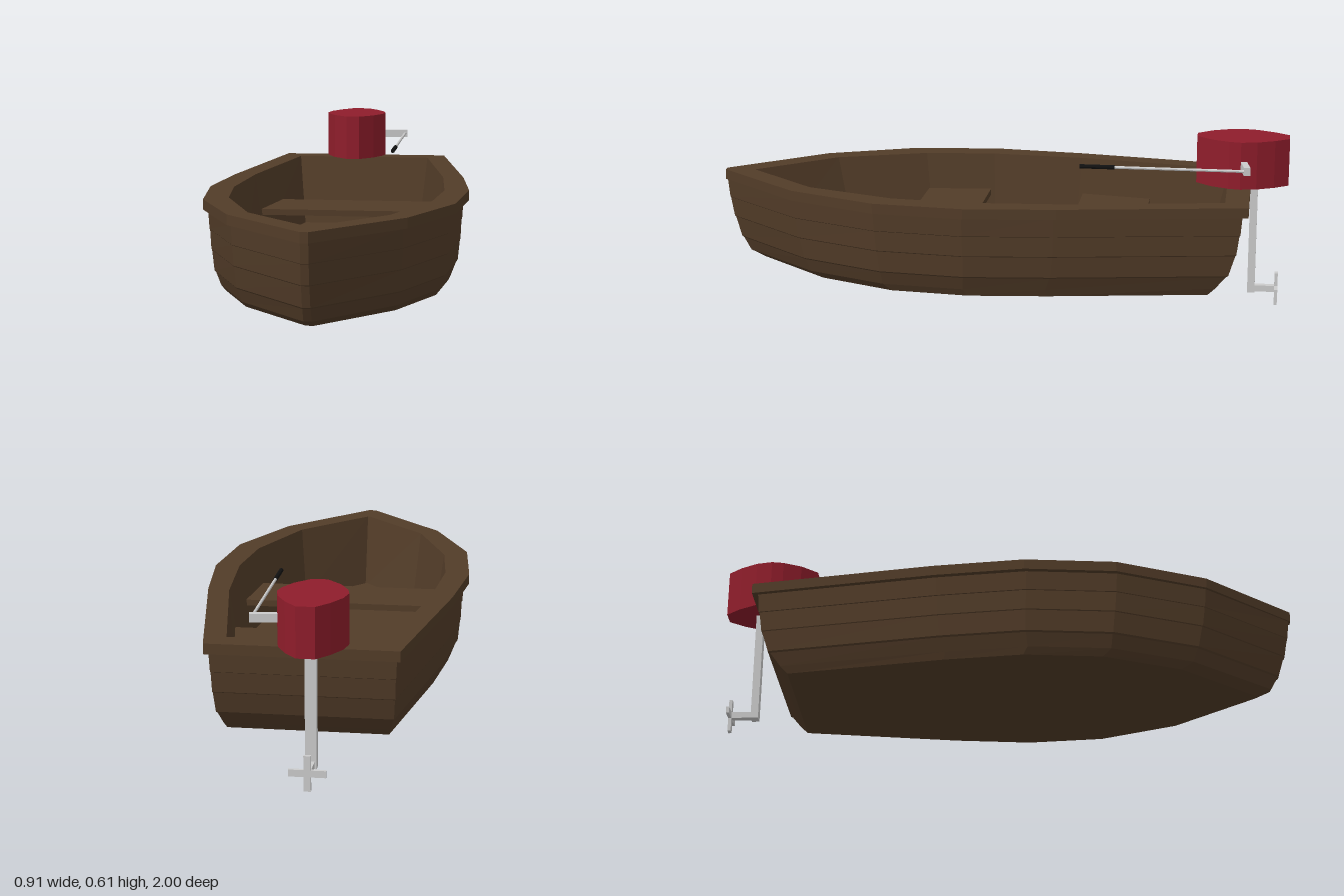
import * as THREE from 'three';

const mat = (color) => new THREE.MeshStandardMaterial({ color, flatShading: true });
const wood = mat(0x523c28), red = mat(0x8f1d2b), grey = mat(0xcccccc), black = mat(0x111111);

// Half outlines [x, z] from stern to bow
const OUTER = [[0.31, -0.87], [0.42, -0.24], [0.455, 0.07], [0.425, 0.38], [0.29, 0.69], [0.013, 1.0]];
const INNER = [[0.25, -0.79], [0.345, -0.25], [0.37, 0.08], [0.345, 0.33], [0.23, 0.64], [0.004, 0.89]];

// Closed ring at height y: scaled in width, stretched in z between stern and bow
function ring(half, y, scale = 1, stern = half[0][1], bow = half[5][1]) {
  const z0 = half[0][1], z1 = half[5][1];
  const side = half.map(([x, z], i) => [
    i === 5 ? x : x * scale, y, stern + (z - z0) / (z1 - z0) * (bow - stern)]);
  return [...side, ...side.slice().reverse().map(([x, h, z]) => [-x, h, z])];
}

// Skin between successive rings, with optional end caps
function loft(rings, capStart, capEnd) {
  const pos = [];
  const tri = (a, b, c) => pos.push(...a, ...b, ...c);
  for (let k = 0; k + 1 < rings.length; k++) {
    const p = rings[k], q = rings[k + 1], n = p.length;
    for (let i = 0; i < n; i++) {
      const j = (i + 1) % n;
      tri(p[i], q[i], p[j]);
      tri(q[i], q[j], p[j]);
    }
  }
  const cap = (r, up) => {
    const n = r.length;
    for (let i = 0; i + 1 < n / 2; i++) {
      const a = r[i], b = r[i + 1], c = r[n - 1 - i], d = r[n - 2 - i];
      if (up) { tri(c, d, a); tri(a, d, b); } else { tri(c, a, d); tri(a, b, d); }
    }
  };
  if (capStart) cap(rings[0], false);
  if (capEnd) cap(rings[rings.length - 1], true);
  const g = new THREE.BufferGeometry();
  g.setAttribute('position', new THREE.Float32BufferAttribute(pos, 3));
  g.computeVertexNormals();
  return g;
}

// Slab with a top-view outline of [x, z] points
function slab(points, y0, y1) {
  const shape = new THREE.Shape(points.map(([x, z]) => new THREE.Vector2(x, -z)));
  const g = new THREE.ExtrudeGeometry(shape, { depth: y1 - y0, bevelEnabled: false });
  return g.rotateX(-Math.PI / 2).translate(0, y0, 0);
}

export function createModel() {
  const root = new THREE.Group();
  root.name = 'motorBoat';
  const add = (parent, name, geometry, material, x = 0, y = 0, z = 0) => {
    const m = new THREE.Mesh(geometry, material);
    m.name = name;
    m.position.set(x, y, z);
    parent.add(m);
    return m;
  };
  const box = (w, h, d) => new THREE.BoxGeometry(w, h, d);

  // Lapped planks: [half width, y, stern z, bow z], bottom to top
  const planks = [
    [0.385, 0.115, -0.74, 0.86], [0.396, 0.14, -0.765, 0.915], [0.413, 0.185, -0.80, 0.94],
    [0.418, 0.19, -0.808, 0.947], [0.425, 0.262, -0.83, 0.968],
    [0.427, 0.265, -0.833, 0.972], [0.43, 0.333, -0.842, 0.984],
    [0.432, 0.335, -0.845, 0.986], [0.436, 0.40, -0.85, 0.993],
  ].map(([w, y, s, b]) => ring(OUTER, y, w / 0.455, s, b));
  add(root, 'hull', loft(planks, true, false), wood);

  // Rim around the top, continuing under its overhang
  add(root, 'gunwale', loft([
    planks[planks.length - 1], ring(OUTER, 0.40), ring(OUTER, 0.435), ring(INNER, 0.435),
  ]), wood);

  // Inside walls and floor
  add(root, 'interior', loft([
    ring(INNER, 0.435), ring(INNER, 0.18, 0.9, -0.73, 0.82),
  ], false, true), wood);

  // Two bench seats: [rear z, rear half width, front z, front half width]
  [['frontSeat', 0.09, 0.365, 0.32, 0.343], ['rearSeat', -0.505, 0.295, -0.255, 0.335]]
    .forEach(([name, z0, w0, z1, w1]) => {
      add(root, name, slab([[-w0, z0], [-w1, z1], [w1, z1], [w0, z0]], 0.283, 0.305), wood);
    });

  // Outboard motor, slightly off centre
  const motor = new THREE.Group();
  motor.name = 'outboardMotor';
  motor.position.x = -0.033;
  root.add(motor);
  const cowl = [[0.025, -0.682], [0.075, -0.735], [0.105, -0.795], [0.113, -0.835],
    [0.102, -0.89], [0.07, -0.95], [0.03, -1.0]];
  const cowlOutline = [...cowl, ...cowl.slice().reverse().map(([x, z]) => [-x, z])];
  add(motor, 'cowl', slab(cowlOutline, 0.44, 0.605), red);
  add(motor, 'leg', box(0.037, 0.40, 0.026), grey, 0, 0.245, -0.883);
  add(motor, 'propellerShaft', box(0.024, 0.022, 0.09), grey, 0, 0.059, -0.925);
  add(motor, 'propellerBladeAcross', box(0.12, 0.023, 0.011), grey, 0, 0.059, -0.97);
  add(motor, 'propellerBladeUpright', box(0.023, 0.117, 0.011), grey, 0, 0.0585, -0.97);

  // Tiller arm, rod and grip
  const arm = add(motor, 'tillerArm', box(0.11, 0.028, 0.022), grey, 0.143, 0.523, -0.851);
  arm.rotation.y = 0.15;
  const rod = (r, length) => new THREE.CylinderGeometry(r, r, length, 8).rotateX(Math.PI / 2);
  add(motor, 'tillerRod', rod(0.005, 0.45), grey, 0.19, 0.523, -0.63);
  add(motor, 'tillerGrip', rod(0.0075, 0.12), black, 0.19, 0.523, -0.35);
  return root;
}
